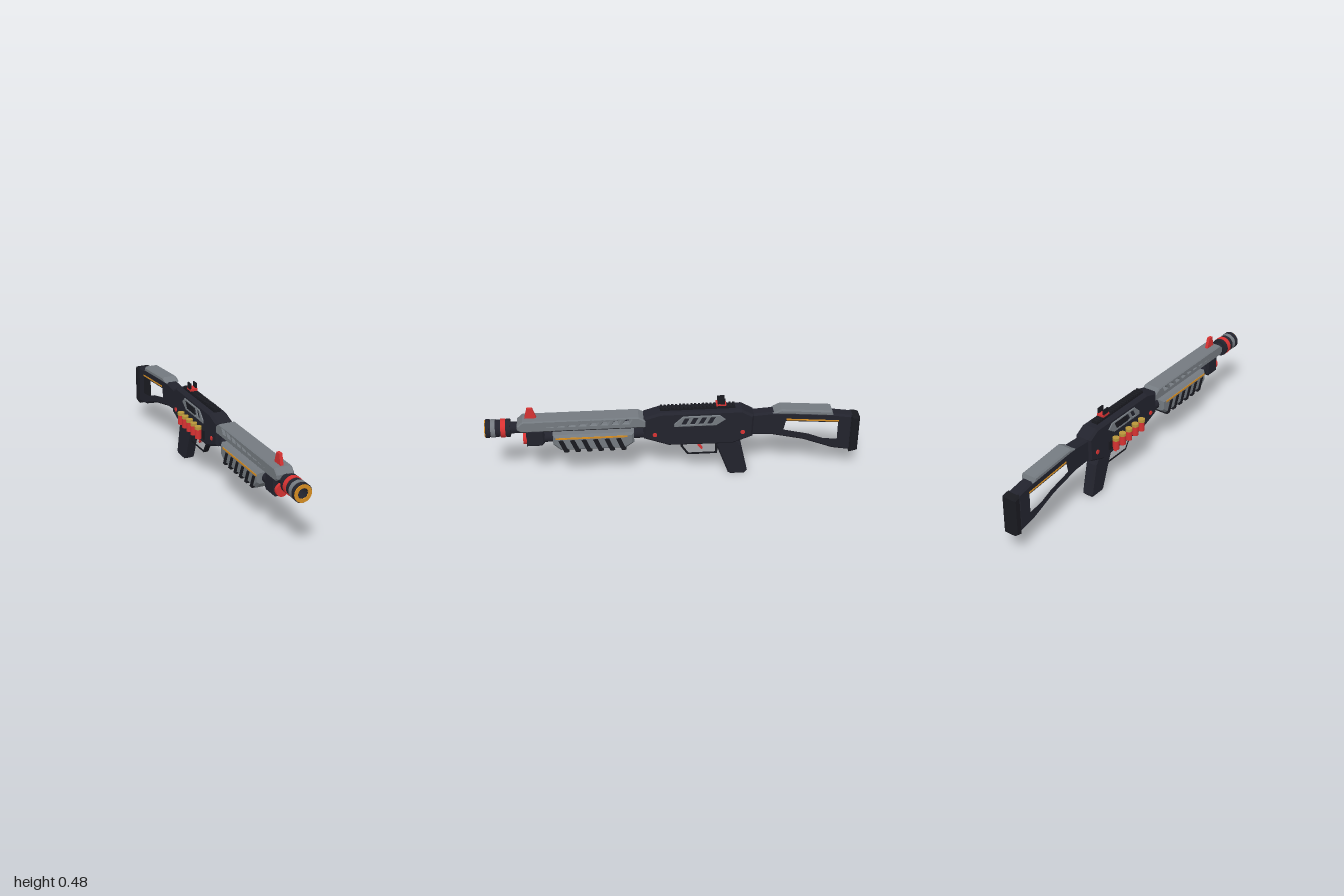
import * as THREE from 'three';

const mat = (name, color) => Object.assign(new THREE.MeshStandardMaterial({ color }), { name });

export function createModel() {
  const dark = mat('dark body', 0x22232d);
  const black = mat('black', 0x191a20);
  const grey = mat('grey', 0x747a80);
  const red = mat('red', 0xd83232);
  const orange = mat('orange', 0xd98f22);
  const gold = mat('gold', 0xb8963a);

  const gun = new THREE.Group();
  gun.name = 'shotgun';
  gun.position.x = 0.017;

  const add = (name, geometry, material, x = 0, y = 0, z = 0) => {
    const mesh = new THREE.Mesh(geometry, material);
    mesh.name = name;
    mesh.position.set(x, y, z);
    gun.add(mesh);
    return mesh;
  };
  const points = (list) => list.map(([z, y]) => new THREE.Vector2(z, y));
  // Side profile in [z, y], extruded across x with chamfered edges
  const slab = (name, profile, width, material, chamfer = 0, holes = [], x = 0) => {
    const shape = new THREE.Shape(points(profile));
    shape.holes = holes.map((h) => new THREE.Path(points(h)));
    const geometry = new THREE.ExtrudeGeometry(shape, {
      depth: width - 2 * chamfer, bevelEnabled: chamfer > 0, bevelSize: chamfer,
      bevelThickness: chamfer, bevelOffset: -chamfer, bevelSegments: 1,
    });
    geometry.translate(0, 0, -(width - 2 * chamfer) / 2);
    geometry.rotateY(-Math.PI / 2);
    return add(name, geometry, material, x);
  };
  const box = (name, w, h, d, material, x, y, z) => add(name, new THREE.BoxGeometry(w, h, d), material, x, y, z);
  // Cylinder along z between two depths
  const rod = (name, r, z0, z1, y, material) =>
    add(name, new THREE.CylinderGeometry(r, r, z1 - z0, 32).rotateX(Math.PI / 2), material, 0, y, (z0 + z1) / 2);
  // Hollow ring along z
  const ring = (name, outer, inner, z0, z1, y, material) => {
    const shape = new THREE.Shape().absarc(0, 0, outer, 0, Math.PI * 2);
    shape.holes.push(new THREE.Path().absarc(0, 0, inner, 0, Math.PI * 2, true));
    add(name, new THREE.ExtrudeGeometry(shape, { depth: z1 - z0, bevelEnabled: false, curveSegments: 32 }), material, 0, y, z0);
  };
  // Slanted four-sided outline: lean shifts the top edge in z
  const slanted = (z, y0, y1, length, lean) => [
    [z - length / 2 - lean / 2, y0], [z + length / 2 - lean / 2, y0],
    [z + length / 2 + lean / 2, y1], [z - length / 2 + lean / 2, y1],
  ];

  // Barrel and muzzle
  const barrelY = 0.342;
  rod('barrel', 0.031, 0.1, 0.9, barrelY, dark);
  ring('muzzle', 0.046, 0.028, 0.865, 0.994, barrelY, dark);
  ring('muzzleRearCollar', 0.049, 0.03, 0.868, 0.886, barrelY, dark);
  ring('muzzleRedBand', 0.05, 0.03, 0.89, 0.916, barrelY, red);
  ring('muzzleGreyBand', 0.049, 0.03, 0.944, 0.968, barrelY, grey);
  ring('muzzleFrontCollar', 0.0495, 0.03, 0.975, 0.995, barrelY, dark);
  ring('muzzleFace', 0.046, 0.028, 0.99, 1, barrelY, orange);
  rod('boreEnd', 0.0285, 0.9, 0.91, barrelY, black);

  // Vented heat shield
  const vents = [];
  for (let i = 0; i < 9; i++) vents.push(slanted(0.705 - i * 0.057, 0.366, 0.388, 0.03, -0.014));
  slab('heatShield', [[0.15, 0.335], [0.81, 0.335], [0.83, 0.35], [0.83, 0.372], [0.8, 0.399], [0.19, 0.399], [0.15, 0.375]],
    0.096, grey, 0.006, vents);
  slab('frontSight', [[0.725, 0.395], [0.79, 0.395], [0.774, 0.457], [0.746, 0.457]], 0.017, red);

  // Magazine tube and its clamp
  rod('magazineTube', 0.03, 0.1, 0.79, 0.278, dark);
  rod('magazineCap', 0.035, 0.775, 0.802, 0.275, red);
  slab('barrelClamp', [[0.69, 0.255], [0.705, 0.24], [0.785, 0.24], [0.785, 0.338], [0.69, 0.338]], 0.08, dark, 0.008);

  // Forend with ribs and trim
  slab('forend', [[0.215, 0.308], [0.215, 0.245], [0.26, 0.212], [0.605, 0.212], [0.645, 0.25], [0.645, 0.308]], 0.106, grey, 0.012);
  for (let i = 0; i < 6; i++) slab('forendRib', slanted(0.59 - i * 0.061, 0.205, 0.28, 0.026, 0.03), 0.114, black, 0.003);
  slab('forendTrim', [[0.25, 0.286], [0.63, 0.286], [0.63, 0.296], [0.25, 0.296]], 0.111, orange);

  // Receiver
  slab('receiver', [[0.163, 0.262], [0.03, 0.213], [-0.31, 0.208], [-0.42, 0.25], [-0.425, 0.38], [-0.36, 0.417],
    [0.075, 0.417], [0.163, 0.39]], 0.096, dark, 0.011);
  box('topRail', 0.038, 0.012, 0.4, black, 0, 0.42, -0.125);
  for (let i = 0; i < 20; i++) box('railTooth', 0.038, 0.009, 0.011, black, 0, 0.43, 0.068 - i * 0.0203);
  const slots = [];
  for (let i = 0; i < 4; i++) slots.push(slanted(-0.058 - i * 0.046, 0.346, 0.384, 0.026, -0.02));
  slab('sidePanel', [[0.002, 0.333], [-0.222, 0.333], [-0.272, 0.368], [-0.24, 0.396], [-0.045, 0.396], [0.002, 0.352]],
    0.106, grey, 0.003, slots);
  slab('ejectionPort', [[-0.2, 0.348], [-0.1, 0.348], [-0.12, 0.386], [-0.22, 0.386]], 0.008, black, 0, [], -0.05);
  for (const [z, y] of [[0.105, 0.288], [-0.365, 0.284]])
    add('receiverPin', new THREE.CylinderGeometry(0.012, 0.012, 0.106, 16).rotateZ(Math.PI / 2), red, 0, y, z);

  // Rear sight
  box('rearSightBase', 0.04, 0.014, 0.052, red, 0, 0.44, -0.25);
  for (const s of [-1, 1]) box('rearSightPost', 0.007, 0.034, 0.04, black, s * 0.0165, 0.459, -0.25);

  // Shell carrier on the right side
  box('shellCarrier', 0.01, 0.05, 0.29, black, -0.05, 0.272, -0.125);
  for (let i = 0; i < 5; i++) {
    const z = -0.013 - i * 0.0565;
    add('shellCase', new THREE.CylinderGeometry(0.0175, 0.0175, 0.054, 20), red, -0.0735, 0.275, z);
    add('shellHead', new THREE.CylinderGeometry(0.0188, 0.0188, 0.016, 20), gold, -0.0735, 0.309, z);
  }

  // Grip, trigger and guard
  slab('grip', [[-0.215, 0.22], [-0.235, 0.17], [-0.295, 0.008], [-0.31, 0], [-0.385, 0], [-0.4, 0.018],
    [-0.362, 0.19], [-0.34, 0.22]], 0.064, dark, 0.009);
  slab('triggerGuard', [[-0.035, 0.215], [-0.035, 0.185], [-0.072, 0.13], [-0.235, 0.13], [-0.235, 0.215]], 0.026, black, 0,
    [[[-0.047, 0.208], [-0.047, 0.188], [-0.078, 0.142], [-0.223, 0.142], [-0.223, 0.208]]]);
  slab('trigger', [[-0.125, 0.215], [-0.128, 0.182], [-0.148, 0.155], [-0.156, 0.16], [-0.143, 0.185], [-0.145, 0.215]], 0.012, red);

  // Skeleton stock, cheek rest and butt pad
  slab('stock', [[-0.41, 0.25], [-0.525, 0.245], [-0.7, 0.205], [-0.86, 0.143], [-0.96, 0.125], [-0.96, 0.345],
    [-0.85, 0.362], [-0.57, 0.385], [-0.525, 0.387], [-0.41, 0.38]], 0.068, dark, 0.01,
  [[[-0.575, 0.27], [-0.72, 0.235], [-0.8, 0.203], [-0.892, 0.192], [-0.892, 0.318], [-0.59, 0.342]]]);
  slab('stockTrim', [[-0.6, 0.337], [-0.885, 0.314], [-0.885, 0.322], [-0.6, 0.346]], 0.072, orange);
  slab('cheekRest', [[-0.525, 0.383], [-0.57, 0.407], [-0.845, 0.385], [-0.855, 0.355], [-0.57, 0.378]], 0.084, grey, 0.008);
  slab('buttPad', [[-0.955, 0.115], [-1, 0.127], [-1, 0.335], [-0.99, 0.34], [-0.955, 0.345]], 0.084, black, 0.009);

  const model = new THREE.Group();
  model.name = 'model';
  model.add(gun);
  return model;
}
